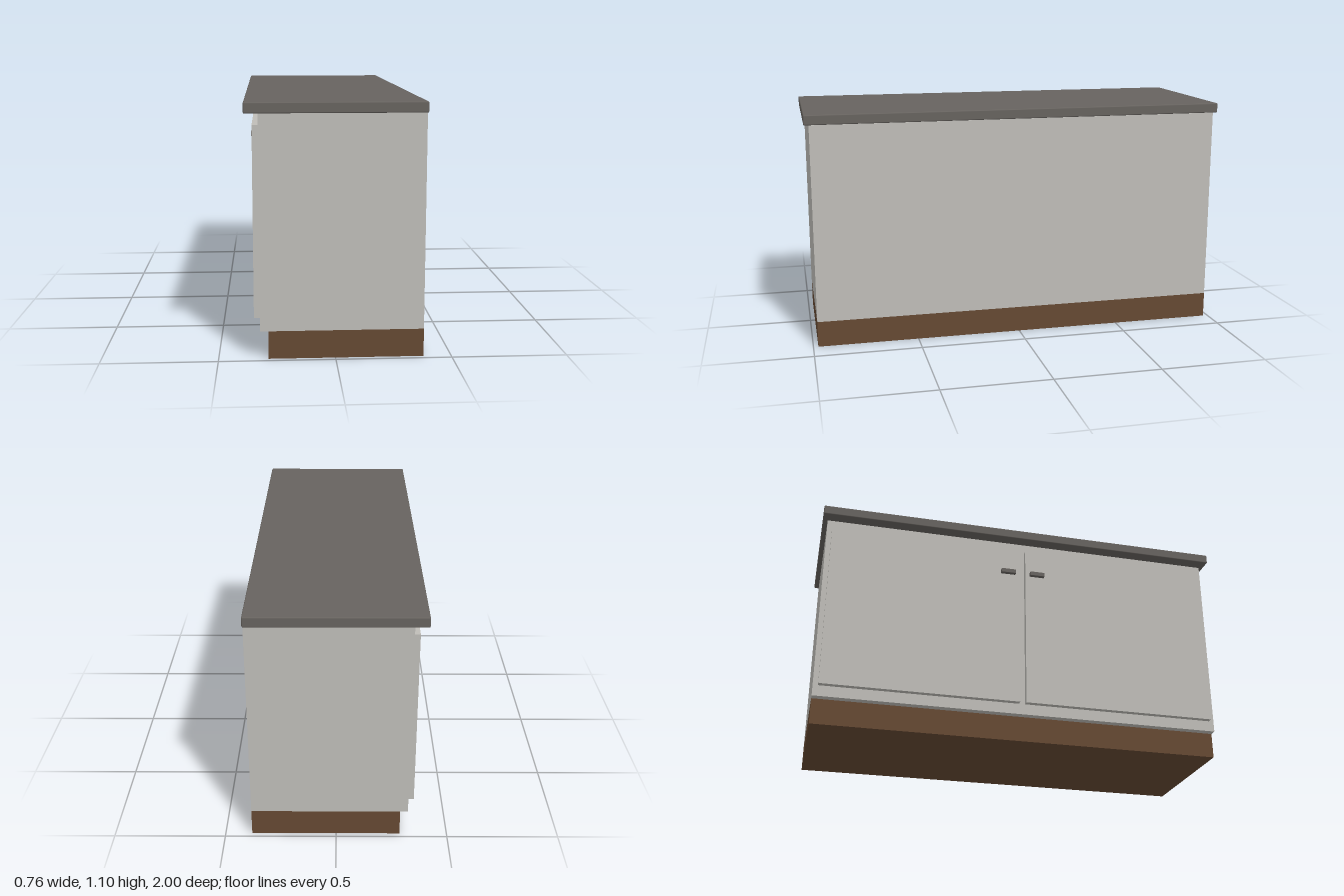
import * as THREE from 'three';
import { RoundedBoxGeometry } from 'three/addons/geometries/RoundedBoxGeometry.js';

const material = (name, color) => {
  const m = new THREE.MeshStandardMaterial({ color });
  m.name = name;
  return m;
};

export function createModel() {
  const group = new THREE.Group();
  group.name = 'baseCabinet';
  const paint = material('pale grey paint', 0xbfbdb8);
  const stone = material('dark grey stone', 0x67635f);
  const wood = material('brown wood', 0x654933);

  // Box between two extents on each axis; a radius softens its edges
  const box = (name, mat, [x0, x1], [y0, y1], [z0, z1], radius = 0) => {
    const size = [x1 - x0, y1 - y0, z1 - z0];
    const geometry = radius
      ? new RoundedBoxGeometry(...size, 2, radius)
      : new THREE.BoxGeometry(...size);
    const mesh = new THREE.Mesh(geometry, mat);
    mesh.name = name;
    mesh.position.set((x0 + x1) / 2, (y0 + y1) / 2, (z0 + z1) / 2);
    group.add(mesh);
  };

  // Plinth, recessed under the door side
  box('plinth', wood, [-0.287, 0.38], [0, 0.122], [-0.977, 0.977]);
  // Carcass
  box('carcass', paint, [-0.322, 0.38], [0.122, 1.052], [-0.977, 0.977]);
  // Worktop with softened edges
  box('worktop', stone, [-0.382, 0.382], [1.052, 1.098], [-1, 1], 0.005);

  // A pair of doors on the -x side, with handles near the middle gap
  for (const s of [-1, 1]) {
    const span = (a, b) => [Math.min(s * a, s * b), Math.max(s * a, s * b)];
    box('door', paint, [-0.348, -0.322], [0.174, 1.0], span(0.015, 0.953));
    box('handle', stone, [-0.366, -0.347], [0.857, 0.879], span(0.037, 0.11), 0.002);
  }
  return group;
}
